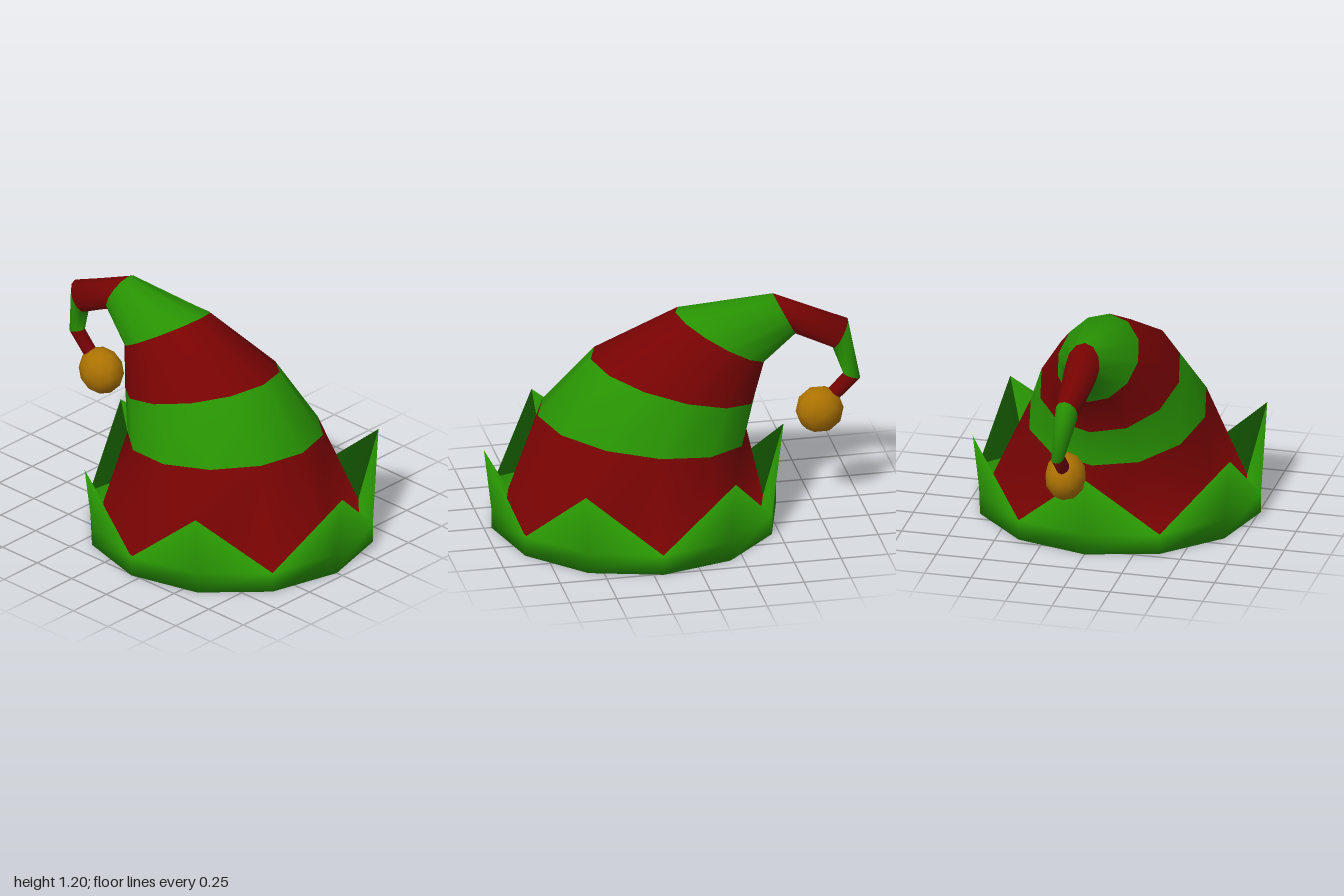
import * as THREE from 'three';

const SIDES = 12;
const red = new THREE.MeshStandardMaterial({ color: 0x780303 });
const green = new THREE.MeshStandardMaterial({ color: 0x289303 });
const gold = new THREE.MeshStandardMaterial({ color: 0xad7302 });
red.name = 'red felt';
green.name = 'green felt';
gold.name = 'gold bell';

// A tilted oval ring: centre, half-axis in the xy plane, half-width in z
function ring([cx, cy, cz, ux, uy, w]) {
  return Array.from({ length: SIDES }, (_, i) => {
    const a = (i / SIDES) * Math.PI * 2, c = Math.cos(a), s = Math.sin(a);
    return new THREE.Vector3(cx + ux * c, cy + uy * c, cz + w * s);
  });
}

const round = (r, y) => ring([0.2, y, 0, r, 0, r]);

// Smooth normals, each face weighted by its angle at the corner
function smoothNormals(points, index) {
  const normals = points.map(() => new THREE.Vector3());
  for (let t = 0; t < index.length; t += 3) {
    for (let k = 0; k < 3; k++) {
      const [a, b, c] = [0, 1, 2].map((j) => index[t + (k + j) % 3]);
      const ab = points[b].clone().sub(points[a]);
      const ac = points[c].clone().sub(points[a]);
      const face = ab.clone().cross(ac).normalize();
      normals[a].addScaledVector(face, ab.angleTo(ac));
    }
  }
  return normals.map((n) => n.normalize());
}

function mesh(name, geometry, material) {
  const m = new THREE.Mesh(geometry, material);
  m.name = name;
  return m;
}

// Brim rings, then the cone rings from foot to tail
const LOW = 0, HIGH = SIDES, TIPS = 2 * SIDES, CONE = 3 * SIDES;
const coneRings = [
  [0.2, 0.05, 0, 0.69, 0, 0.69],
  [0.155, 0.53, 0, 0.557, 0.09, 0.47],
  [-0.01, 0.785, 0, 0.44, 0.135, 0.37],
  [-0.263, 0.995, 0, 0.24, 0.15, 0.215],
  [-0.603, 1.085, 0, 0.058, 0.115, 0.092],
  [-0.9, 0.95, -0.01, -0.04, 0.08, 0.06],
  [-0.955, 0.715, -0.043, -0.045, -0.015, 0.035],
  [-0.835, 0.595, -0.04, -0.03, -0.027, 0.035],
];

// Brim wall with six points, their inner faces and the flat underside
function brimFaces() {
  const f = [];
  const edge = (i) => (i % 2 ? HIGH : TIPS) + i;
  for (let i = 0; i < SIDES; i++) {
    const n = (i + 1) % SIDES;
    f.push(LOW + i, HIGH + i, LOW + n, LOW + n, HIGH + i, HIGH + n);
    f.push(HIGH + i, TIPS + (i % 2 ? n : i), HIGH + n);
    f.push(CONE + i, CONE + n, edge(i), CONE + n, edge(n), edge(i));
  }
  for (let a = 0, b = SIDES - 1; b - a > 1; a++, b--) {
    f.push(a, a + 1, b, a + 1, b - 1, b);
  }
  return f;
}

// Bent cone, ring joined to ring
function coneFaces() {
  const f = [];
  for (let r = 0; r < coneRings.length - 1; r++) {
    for (let i = 0; i < SIDES; i++) {
      const a = CONE + r * SIDES + i, b = CONE + r * SIDES + (i + 1) % SIDES;
      f.push(a, a + SIDES, b, b, a + SIDES, b + SIDES);
    }
  }
  return f;
}

export function createModel() {
  const hat = new THREE.Group();
  hat.name = 'pointedHat';

  // Brim and cone share points, so shading runs smoothly from one to the other
  const valleys = round(0.76, 0.11);
  const tips = round(0.8, 0.45).map((p, i) => (i % 2 ? valleys[i] : p));
  const points = [...round(0.76, 0), ...valleys, ...tips, ...coneRings.flatMap(ring)];
  const brim = brimFaces(), cone = coneFaces();
  const normals = smoothNormals(points, [...brim, ...cone]);

  const part = (faces) => {
    const g = new THREE.BufferGeometry();
    const used = (list) => faces.flatMap((i) => list[i].toArray());
    g.setAttribute('position', new THREE.Float32BufferAttribute(used(points), 3));
    g.setAttribute('normal', new THREE.Float32BufferAttribute(used(normals), 3));
    return g;
  };
  hat.add(mesh('brim', part(brim), green));

  // Cone stripes alternate red and green
  const stripe = SIDES * 6;
  for (let r = 0; r < coneRings.length - 1; r++) {
    const faces = cone.slice(r * stripe, (r + 1) * stripe);
    hat.add(mesh('coneStripe' + (r + 1), part(faces), r % 2 ? green : red));
  }

  // Ball hanging from the tail
  const ball = mesh('tailBall', new THREE.IcosahedronGeometry(0.128, 1), gold);
  ball.scale.z = 0.85;
  ball.position.set(-0.783, 0.537, -0.045);
  hat.add(ball);
  return hat;
}
